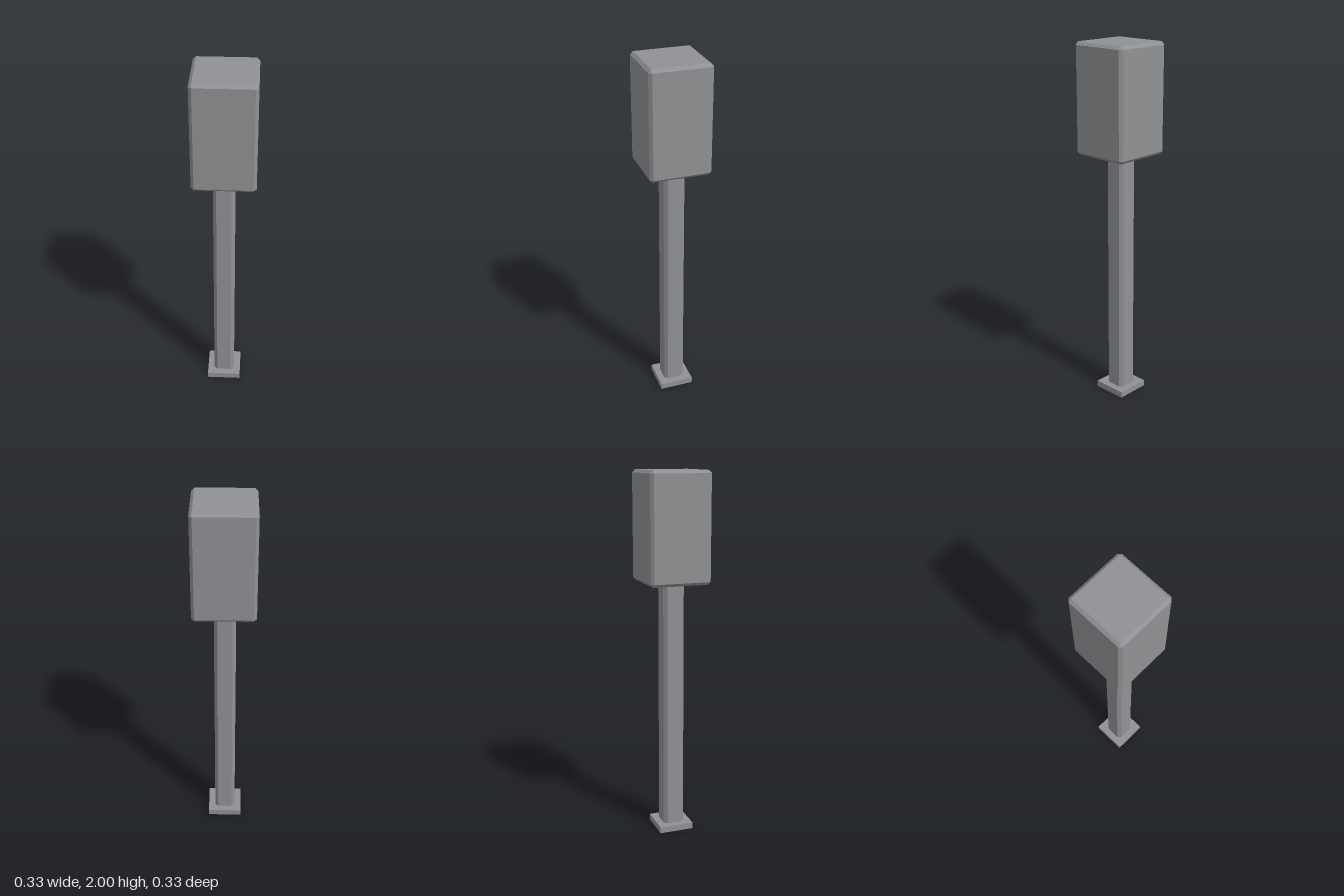
import * as THREE from 'three';
import { ConvexGeometry } from 'three/addons/geometries/ConvexGeometry.js';

// Box with flat chamfers of size c on every edge
function chamferedBox(w, h, d, c) {
  const points = [];
  for (const sx of [-1, 1]) for (const sy of [-1, 1]) for (const sz of [-1, 1]) {
    for (let axis = 0; axis < 3; axis++) {
      const inset = [c, c, c];
      inset[axis] = 0;
      points.push(new THREE.Vector3(
        sx * (w / 2 - inset[0]), sy * (h / 2 - inset[1]), sz * (d / 2 - inset[2])));
    }
  }
  return new ConvexGeometry(points);
}

export function createModel() {
  const group = new THREE.Group();
  const grey = new THREE.MeshStandardMaterial({ color: 0x909194 });
  grey.name = 'grey metal';

  const add = (name, geometry, x, y, z) => {
    const mesh = new THREE.Mesh(geometry, grey);
    mesh.name = name;
    mesh.position.set(x, y, z);
    group.add(mesh);
  };

  // Foot plate, slightly off centre together with the post
  add('basePlate', new THREE.BoxGeometry(0.193, 0.035, 0.193), -0.004, 0.0175, -0.003);
  // Post, its ends sunk into the plate and the cabinet
  add('post', chamferedBox(0.117, 1.41, 0.117, 0.018), -0.004, 0.72, -0.003);
  // Cabinet on top
  add('cabinet', chamferedBox(0.334, 0.592, 0.334, 0.016), 0, 1.704, 0);

  return group;
}
